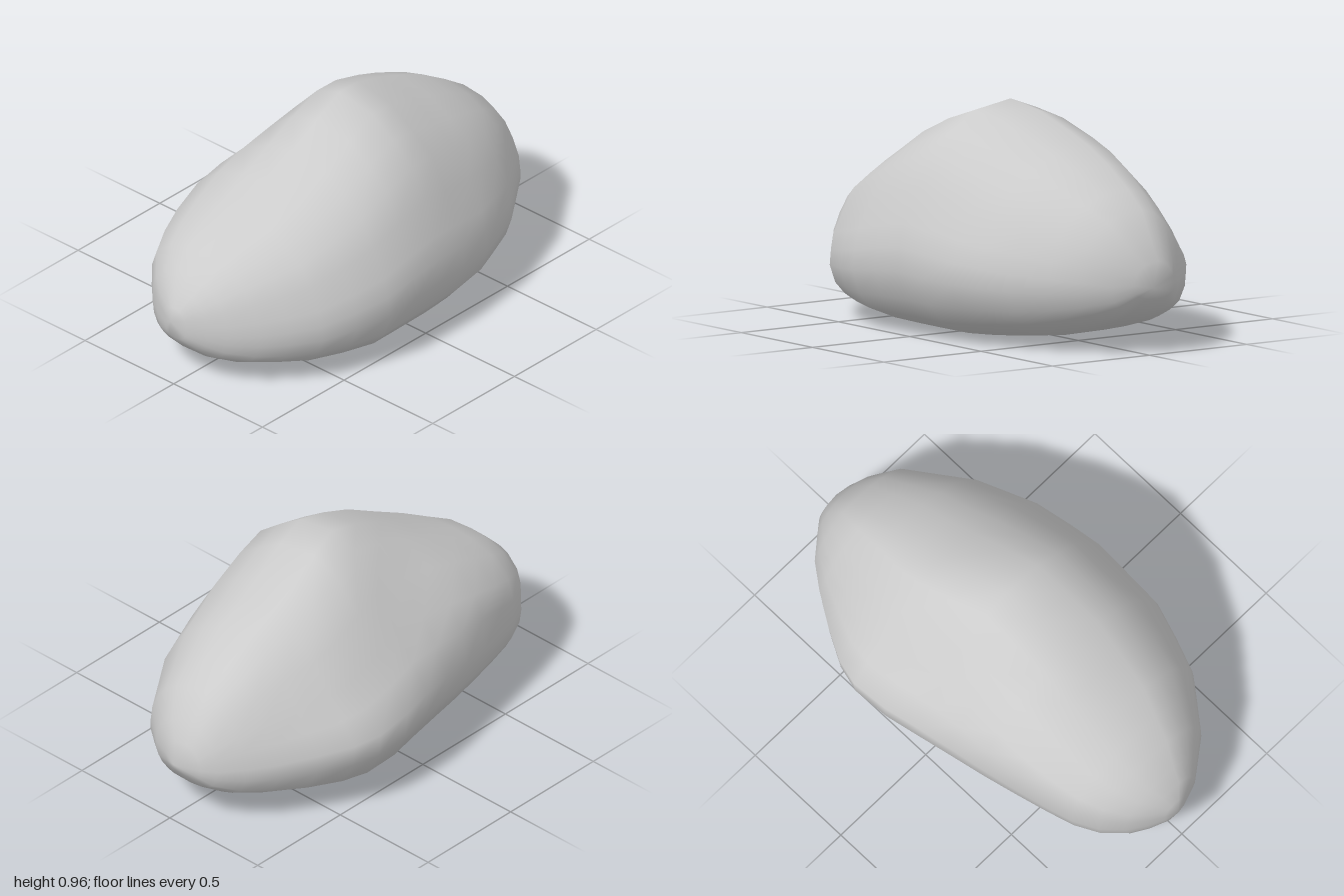
import * as THREE from 'three';
import { mergeVertices } from 'three/addons/utils/BufferGeometryUtils.js';

const { lerp, smoothstep } = THREE.MathUtils;

// Outlines as [z, value] pairs, running from back to front
const sideRight = [[-1, -0.02], [-0.97, -0.15], [-0.86, -0.29], [-0.7, -0.41], [-0.48, -0.54], [-0.35, -0.58],
  [-0.13, -0.57], [0.35, -0.46], [0.6, -0.39], [0.78, -0.33], [0.92, -0.19], [1, -0.02]];
const sideLeft = [[-1, -0.02], [-0.94, 0.13], [-0.87, 0.24], [-0.59, 0.44], [-0.32, 0.545], [-0.03, 0.578],
  [0.3, 0.575], [0.42, 0.54], [0.61, 0.47], [0.81, 0.31], [0.94, 0.14], [1, -0.02]];
const crest = [[-1, 0.28], [-0.96, 0.42], [-0.85, 0.585], [-0.63, 0.735], [-0.38, 0.84], [-0.17, 0.925],
  [-0.02, 0.957], [0.2, 0.88], [0.5, 0.71], [0.82, 0.545], [0.94, 0.42], [1, 0.3]];
const base = [[-1, 0.28], [-0.94, 0.175], [-0.83, 0.105], [-0.63, 0.05], [-0.2, 0], [0.27, 0.01],
  [0.5, 0.03], [0.72, 0.06], [0.87, 0.095], [0.97, 0.19], [1, 0.3]];

// Widest cross-section, counterclockwise from the front
const profile = [[0.578, 0.28], [0.565, 0.38], [0.54, 0.48], [0.47, 0.62], [0.4, 0.76], [0.29, 0.845], [0.17, 0.925],
  [-0.02, 0.957], [-0.15, 0.91], [-0.285, 0.765], [-0.4, 0.61], [-0.49, 0.5], [-0.58, 0.39], [-0.57, 0.27],
  [-0.5, 0.135], [-0.38, 0.07], [-0.25, 0.03], [-0.05, 0.01], [0.2, 0], [0.33, 0.02], [0.475, 0.08], [0.54, 0.16]];

const stations = [-1, -0.97, -0.93, -0.85, -0.74, -0.6, -0.46, -0.34, -0.17, -0.02, 0.14, 0.3, 0.45, 0.6, 0.71, 0.81, 0.89, 0.94, 0.975, 1];

function sample(table, z) {
  const i = Math.max(1, table.findIndex(([t]) => t >= z));
  const [z0, a] = table[i - 1];
  const [z1, b] = table[i];
  return lerp(a, b, (z - z0) / (z1 - z0));
}

// Superellipse coordinate in 0..1; a lower power is squarer
const swell = (c, power) => 0.5 + 0.5 * Math.sign(c) * Math.abs(c) ** power;

// Fit the cross-section between the four outlines: its right half swells towards
// the front, both ends are rounded, and the crest leans to the right at the back
function boulderGeometry() {
  const positions = [], indices = [], n = profile.length;
  stations.forEach((z, i) => {
    const x0 = sample(sideRight, z), x1 = sample(sideLeft, z);
    const y0 = sample(base, z), y1 = sample(crest, z);
    const endRound = 0.65 * Math.abs(z) ** 3;
    const frontSwell = Math.max(endRound, smoothstep(z, -0.1, 0.6));
    const lean = 0.3 * Math.max(-z, 0);
    profile.forEach(([px, py], j) => {
      const u = (px + 0.58) / 1.158, v = py / 0.957;
      const angle = Math.atan2(v - 0.45, u - 0.5);
      const round = lerp(frontSwell, endRound, smoothstep(u, 0.4, 0.75));
      const power = v < 0.45 && u < 0.5 ? 0.68 : 0.78;
      const fx = lerp(u, swell(Math.cos(angle), power), round);
      const fy = lerp(v, swell(Math.sin(angle), power), round);
      const leaned = fx - lean * fy * fx * (1 - fx);
      positions.push(x0 + (x1 - x0) * leaned, y0 + (y1 - y0) * fy, z);
      if (i === stations.length - 1) return;
      const a = i * n + j, b = i * n + (j + 1) % n;
      indices.push(a, b, a + n, b, b + n, a + n);
    });
  });
  const geometry = new THREE.BufferGeometry();
  geometry.setAttribute('position', new THREE.Float32BufferAttribute(positions, 3));
  geometry.setIndex(indices);
  const merged = mergeVertices(geometry, 1e-4);
  merged.computeVertexNormals();
  return merged;
}

export function createModel() {
  const group = new THREE.Group();
  group.name = 'rock';
  const boulder = new THREE.Mesh(boulderGeometry(), new THREE.MeshStandardMaterial({ color: 0xcccccc }));
  boulder.name = 'boulder';
  group.add(boulder);
  return group;
}
